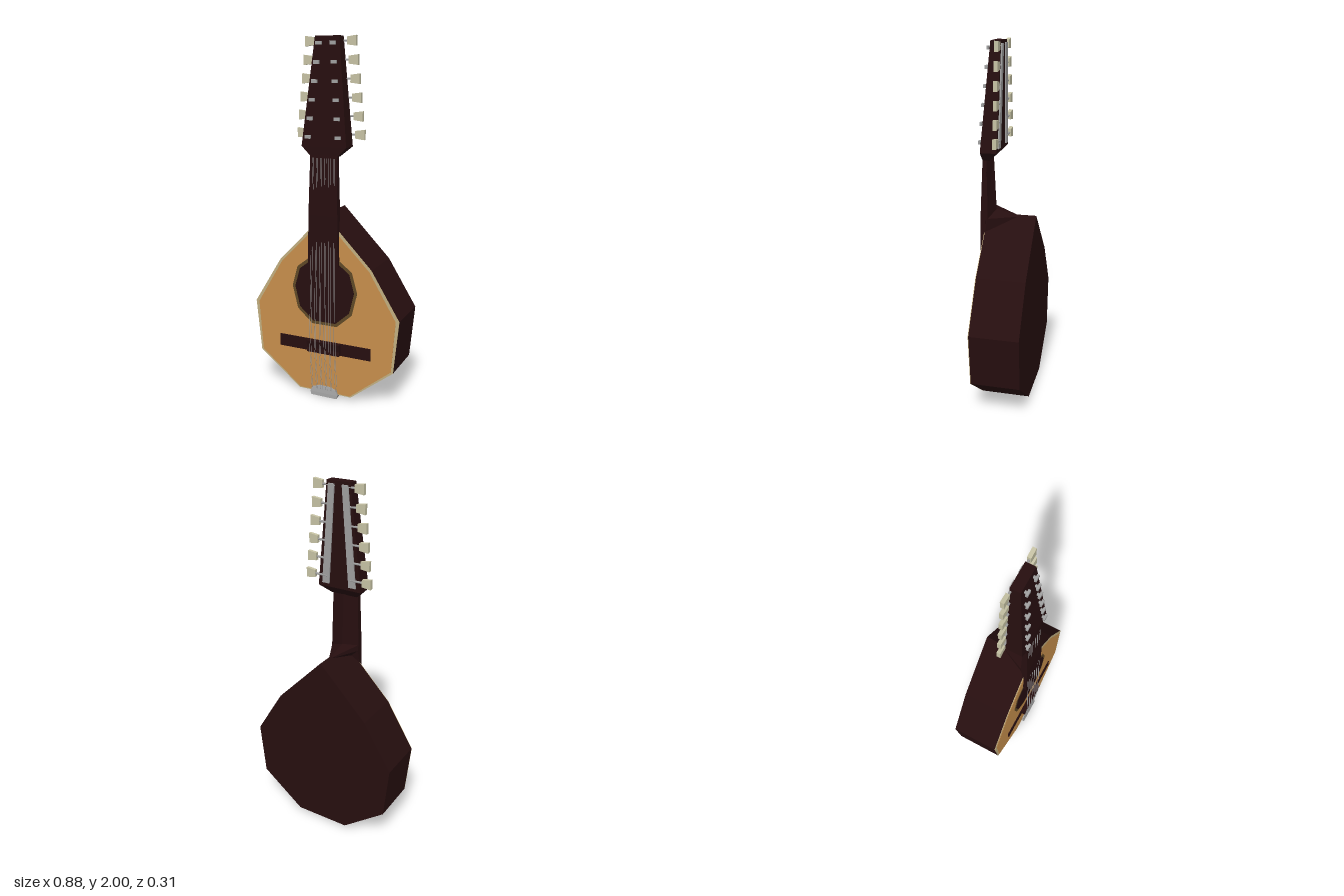
import * as THREE from 'three';

const mat = (name, color) => {
  const m = new THREE.MeshStandardMaterial({ color });
  m.name = name;
  return m;
};

// Mirrors a half outline (bottom to top, x > 0) into a full closed one
const mirrored = (half) => [
  ...half,
  ...half.slice().reverse().filter(([x]) => x > 0).map(([x, y]) => [-x, y]),
];

// Flat plate from an outline, spanning z0 to z1
function plate(points, z0, z1) {
  const shape = new THREE.Shape(points.map(([x, y]) => new THREE.Vector2(x, y)));
  const g = new THREE.ExtrudeGeometry(shape, { depth: z1 - z0, bevelEnabled: false });
  return g.translate(0, 0, z0);
}

// Flat-shaded solid through rings of [x, z] at rising heights, each ring running front-left to front-right to back
function loft(sections) {
  const v = [], rings = sections.map(([y, ring]) => ring.map(([x, z]) => [x, y, z]));
  const tri = (a, b, c) => v.push(...a, ...b, ...c);
  const n = rings[0].length;
  for (let k = 0; k + 1 < rings.length; k++) {
    const a = rings[k], b = rings[k + 1];
    for (let i = 0; i < n; i++) {
      const j = (i + 1) % n;
      tri(a[i], a[j], b[j]);
      tri(a[i], b[j], b[i]);
    }
  }
  const first = rings[0], last = rings[rings.length - 1];
  for (let i = 1; i + 1 < n; i++) {
    tri(first[0], first[i + 1], first[i]);
    tri(last[0], last[i], last[i + 1]);
  }
  const g = new THREE.BufferGeometry();
  g.setAttribute('position', new THREE.Float32BufferAttribute(v, 3));
  g.computeVertexNormals();
  return g;
}

const rect = (x0, x1, zFront, zBack) => [[x0, zFront], [x1, zFront], [x1, zBack], [x0, zBack]];

// Thin rod between two points
function rod(a, b, r, sides) {
  const path = new THREE.LineCurve3(new THREE.Vector3(...a), new THREE.Vector3(...b));
  return new THREE.TubeGeometry(path, 1, r, sides, false);
}

export function createModel() {
  const model = new THREE.Group();
  model.name = 'mandolin';
  const dark = mat('dark wood', 0x260e0f);
  const spruce = mat('soundboard wood', 0xc68e4c);
  const trim = mat('pale binding', 0xc0ae80);
  const ring = mat('rosette brown', 0x5e4826);
  const metal = mat('metal', 0xa0a0a0);
  const ivory = mat('ivory', 0xc6c2a4);
  const add = (name, geometry, material, parent = model) => {
    const m = new THREE.Mesh(geometry, material);
    m.name = name;
    parent.add(m);
    return m;
  };

  // Body, binding and soundboard
  const outline = mirrored([[0.16, 0.02], [0.41, 0.215], [0.44, 0.515], [0.277, 0.78], [0, 1.065]]);
  const inner = mirrored([[0.155, 0.026], [0.398, 0.22], [0.42, 0.512], [0.265, 0.772], [0, 1.04]]);
  add('body', plate(outline, -0.155, 0.117), dark);
  add('binding', plate(outline, 0.117, 0.12), trim);
  add('soundboard', plate(inner, 0.12, 0.122), spruce);

  // Sound hole with rosette
  const hole = [[0.075, 0.43], [0.165, 0.51], [0.197, 0.64], [0.165, 0.755], [0.075, 0.825]];
  const smaller = hole.map(([x, y]) => [x * 0.91, 0.63 + (y - 0.63) * 0.91]);
  add('rosette', plate(mirrored(hole), 0.121, 0.124), ring);
  add('soundHole', plate(mirrored(smaller), 0.122, 0.1255), dark);

  // Fretboard
  add('fretboard', loft([
    [0.78, rect(-0.091, 0.091, 0.141, 0.118)],
    [1.06, rect(-0.086, 0.086, 0.14, 0.11)],
    [1.39, rect(-0.079, 0.079, 0.126, 0.105)],
  ]), dark);

  // Neck with ridged back and pointed heel
  const neckRing = (w, zFront, zSide, zBack) =>
    [[-w, zFront], [w, zFront], [w, zSide], [0, zBack], [-w, zSide]];
  add('neck', loft([
    [0.98, neckRing(0.085, 0.13, 0.115, 0.09)],
    [1.055, neckRing(0.085, 0.13, 0.1, -0.07)],
    [1.09, neckRing(0.084, 0.13, 0.1, 0.07)],
    [1.4, neckRing(0.078, 0.12, 0.105, 0.085)],
  ]), dark);

  // Headstock
  add('headstock', loft([
    [1.38, rect(-0.08, 0.08, 0.126, 0.088)],
    [1.43, rect(-0.13, 0.13, 0.127, 0.037)],
    [2.0, rect(-0.07, 0.07, 0.08, 0.027)],
  ]), dark);

  // Tuners: back plates, shafts, buttons and string posts
  for (const s of [1, -1]) {
    const side = new THREE.Group();
    side.name = s > 0 ? 'leftTuners' : 'rightTuners';
    model.add(side);
    const span = (a, b) => (s > 0 ? [a, b] : [-b, -a]);
    add('tunerPlate', loft([
      [1.45, rect(...span(0.06, 0.103), 0.04, 0.029)],
      [1.985, rect(...span(0.022, 0.058), 0.03, 0.02)],
    ]), metal, side);
    for (let i = 0; i < 6; i++) {
      const t = i / 5, y = 1.492 + 0.483 * t, x = 0.145 - 0.05 * t;
      add('shaft', rod([s * (x - 0.075), y, 0.032], [s * (x + 0.005), y, 0.032], 0.006, 6), metal, side);
      add('button', plate([
        [s * x, y - 0.02], [s * (x + 0.052), y - 0.027],
        [s * (x + 0.052), y + 0.027], [s * x, y + 0.02],
      ], 0.022, 0.042), ivory, side);
      const px = s * (0.088 - 0.048 * t), zf = 0.121 - 0.039 * t, py = y - 0.012;
      add('post', rod([px, py, zf - 0.01], [px, py, zf + 0.014], 0.008, 6), metal, side);
      const cap = new THREE.BoxGeometry(0.032, 0.018, 0.012);
      add('postCap', cap, metal, side).position.set(px, py, zf + 0.017);
    }
  }

  // Bridge and saddle
  add('bridgeBase', plate(mirrored([[0.28, 0.265], [0.28, 0.335]]), 0.12, 0.128), dark);
  add('saddle', loft([
    [0.266, rect(-0.1, 0.1, 0.148, 0.124)],
    [0.29, rect(-0.1, 0.1, 0.142, 0.124)],
    [0.334, rect(-0.1, 0.1, 0.152, 0.124)],
  ]), dark);

  // Tailpiece: front lip and plate under the body
  add('tailpiece', loft([
    [0.0, rect(-0.078, 0.078, 0.137, 0.128)],
    [0.02, rect(-0.085, 0.085, 0.135, 0.05)],
    [0.045, rect(-0.075, 0.075, 0.13, 0.118)],
    [0.06, rect(-0.035, 0.035, 0.126, 0.118)],
  ]), metal);

  // Twelve strings in six pairs, over the saddle to the top of the neck
  const strings = new THREE.Group();
  strings.name = 'strings';
  model.add(strings);
  for (let i = 0; i < 12; i++) {
    const u = (Math.floor(i / 2) - 2.5) / 2.5 + (i % 2 ? 0.06 : -0.06);
    const points = [[u * 0.075, 0.04, 0.131], [u * 0.075, 0.325, 0.153], [u * 0.06, 1.37, 0.129]];
    add('tailString', rod(points[0], points[1], 0.0013, 4), metal, strings);
    add('string', rod(points[1], points[2], 0.0013, 4), metal, strings);
  }
  return model;
}
